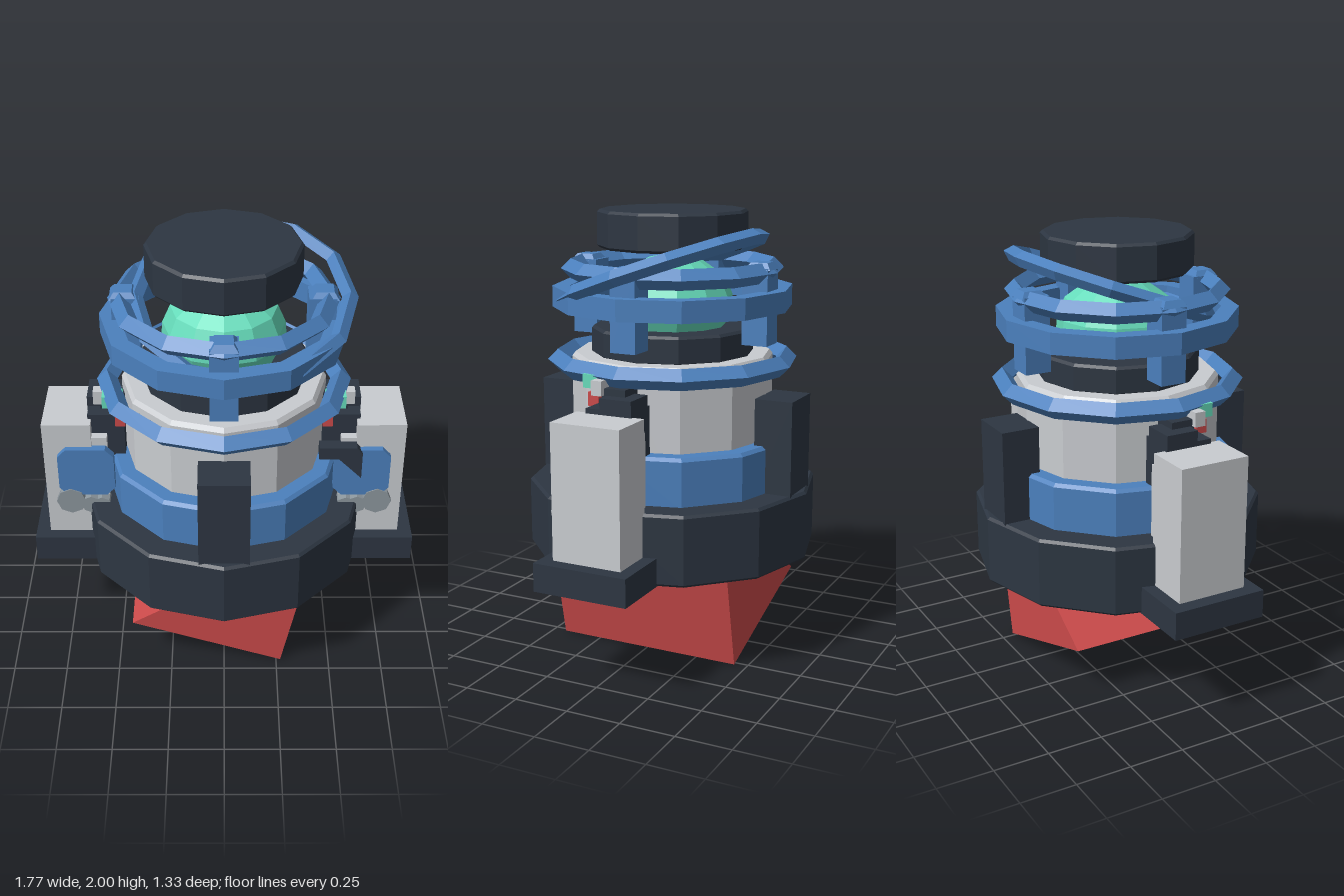
import * as THREE from 'three';

const mat = (name, color) => {
  const m = new THREE.MeshStandardMaterial({ color });
  m.name = name;
  return m;
};

export function createModel() {
  const model = new THREE.Group();
  model.name = 'model';
  const dark = mat('charcoal', 0x2d3642), blue = mat('blue', 0x4b80bd), white = mat('paleGrey', 0xc9ccd0);
  const green = mat('mint', 0x66dcbb), red = mat('red', 0xcb4a4a), grey = mat('midGrey', 0x8d979e);

  // Faceted mesh helper
  const add = (name, geo, material, x = 0, y = 0, z = 0) => {
    const g = geo.index ? geo.toNonIndexed() : geo;
    g.computeVertexNormals();
    const mesh = new THREE.Mesh(g, material);
    mesh.name = name;
    mesh.position.set(x, y, z);
    model.add(mesh);
    return mesh;
  };
  // Twelve-sided turned part from [radius, y] pairs, listed bottom to top
  const turn = (name, pts, material) =>
    add(name, new THREE.LatheGeometry(pts.map(p => new THREE.Vector2(...p)), 12), material);
  // Turned drum with small chamfers
  const drum = (name, r, y0, y1, material, c = 0.012) =>
    turn(name, [[0, y0], [r - c, y0], [r, y0 + c], [r, y1 - c], [r - c, y1], [0, y1]], material);
  // Ring with a diamond section
  const hoop = (name, r, y, t) =>
    turn(name, [[r, y - t], [r + t, y], [r, y + t], [r - t, y], [r, y - t]], blue);
  // Box from its minimum and maximum corners
  const box = (name, material, x0, x1, y0, y1, z0, z1) =>
    add(name, new THREE.BoxGeometry(Math.abs(x1 - x0), y1 - y0, z1 - z0), material,
      (x0 + x1) / 2, (y0 + y1) / 2, (z0 + z1) / 2);
  // Flat outline extruded along z
  const slab = (name, pts, z0, z1, material) => {
    const shape = new THREE.Shape(pts.map(p => new THREE.Vector2(...p)));
    return add(name, new THREE.ExtrudeGeometry(shape, { depth: z1 - z0, bevelEnabled: false }), material, 0, 0, z0);
  };

  // Wedge and strut below the base
  slab('lowerWedge', [[-0.43, 0.24], [0.27, 0], [0.365, 0.46], [-0.065, 0.46]], -0.44, 0.44, red);
  const strut = box('strut', grey, -0.28, -0.24, 0.28, 0.5, -0.02, 0.02);
  strut.rotation.z = 0.45;

  // Stacked body
  drum('base', 0.665, 0.45, 0.77, dark);
  turn('lowerCollar', [[0.54, 0.76], [0.54, 0.97], [0.525, 0.985], [0.44, 0.985]], blue);
  turn('body', [[0.46, 0.76], [0.46, 1.34], [0.445, 1.36], [0, 1.36]], white);
  hoop('bodyRing', 0.525, 1.325, 0.047);
  drum('neck', 0.37, 1.35, 1.48, dark);
  turn('dome', [[0.23, 1.46], [0.275, 1.56], [0.27, 1.62], [0.235, 1.7], [0.12, 1.78], [0, 1.808]], green);
  drum('cap', 0.34, 1.83, 2, dark);

  // Upper ring cage
  turn('cageBand', [[0.465, 1.565], [0.545, 1.565], [0.545, 1.66], [0.465, 1.66], [0.465, 1.565]], blue);
  hoop('cageRing', 0.46, 1.737, 0.045);
  const tilted = hoop('tiltedRing', 0.465, 0, 0.036);
  tilted.position.set(0.08, 1.745, 0.01);
  tilted.rotation.x = 0.34;
  for (let i = 0; i < 4; i++) {
    const a = i * Math.PI / 2;
    const post = add('cagePost', new THREE.BoxGeometry(0.12, 0.34, 0.12), blue,
      0.425 * Math.sin(a), 1.59, 0.425 * Math.cos(a));
    post.rotation.y = a;
    const clip = add('postClip', new THREE.CylinderGeometry(0.055, 0.085, 0.03, 4, 1, false, 0), blue,
      0.435 * Math.sin(a), 1.768, 0.435 * Math.cos(a));
    clip.rotation.y = a + Math.PI / 4;
  }

  // Front and back buttresses
  for (const s of [1, -1]) {
    const b = box('buttress', dark, -0.112, 0.112, 0.76, 1.195, -0.0875, 0.0875);
    b.position.z = s * 0.543;
  }

  // Side equipment, mirrored left and right
  for (const s of [1, -1]) {
    const side = (name, m, x0, x1, ...rest) => box(name, m, s * x0, s * x1, ...rest);
    side('foot', dark, 0.5, 0.885, 0.45, 0.577, -0.22, 0.22);
    side('sidePanel', white, 0.6, 0.82, 0.57, 1.178, -0.162, 0.162);
    side('panelInner', white, 0.53, 0.61, 0.57, 1.1, -0.13, 0.15);
    side('bracket', dark, 0.45, 0.615, 0.97, 1.2, -0.11, 0.11);
    side('bracketTop', dark, 0.47, 0.62, 1.18, 1.25, -0.11, 0.04);
    side('bracketCap', dark, 0.44, 0.56, 1.2, 1.28, -0.05, 0.06);
    side('whiteConnector', white, 0.46, 0.585, 1.25, 1.315, 0.05, 0.1);
    side('greenLamp', green, 0.45, 0.54, 1.27, 1.33, 0.095, 0.165);
    side('redLamp', red, 0.44, 0.485, 1.178, 1.24, 0.12, 0.172);

    // Eight-sided plate on the panel front
    const plate = slab('bluePlate', [[-0.09, -0.125], [0.09, -0.125], [0.128, -0.085], [0.128, 0.085],
      [0.09, 0.125], [-0.09, 0.125], [-0.128, 0.085], [-0.128, -0.085]], 0.15, 0.19, blue);
    plate.position.set(s * 0.628, 0.935, 0.15);

    // Pipe fitting below the plate
    for (const [x, y, r] of [[0.705, 0.775, 0.068], [0.615, 0.755, 0.045], [0.565, 0.745, 0.05]]) {
      const knob = add('pipeKnob', new THREE.CylinderGeometry(r, r, 0.06, 8), grey, s * x, y, 0.165);
      knob.rotation.x = Math.PI / 2;
    }
  }

  // Hooked guard on the left side only
  slab('hookedGuard', [[0.43, 1.02], [0.52, 1.02], [0.625, 0.915], [0.625, 1.05], [0.6, 1.08], [0.43, 1.08]],
    0.14, 0.205, dark);

  return model;
}
